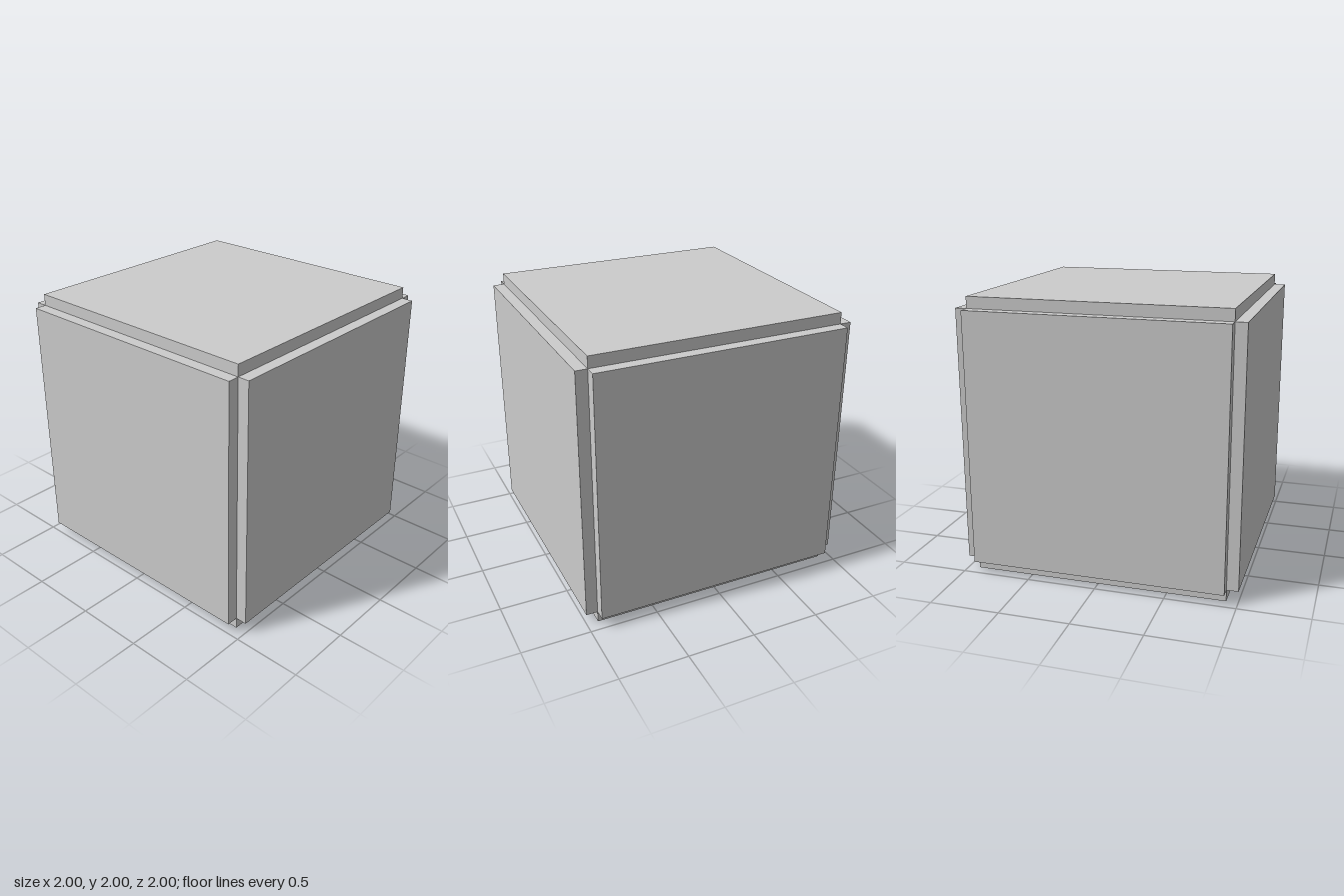
import * as THREE from 'three';

export function createModel() {
  const group = new THREE.Group();
  const material = new THREE.MeshStandardMaterial({ color: 0xcccccc, flatShading: true });
  const half = 0.917; // half width of the core and of each face plate
  const thick = 1 - half;

  const add = (name, size, position) => {
    const mesh = new THREE.Mesh(new THREE.BoxGeometry(...size), material);
    mesh.name = name;
    mesh.position.set(...position);
    group.add(mesh);
  };

  // Solid core cube
  add('core', [2 * half, 2 * half, 2 * half], [0, 1, 0]);

  // One raised plate on each of the six faces
  const names = [['rightPlate', 'leftPlate'], ['bottomPlate', 'topPlate'], ['backPlate', 'frontPlate']];
  names.forEach((pair, axis) => pair.forEach((name, i) => {
    const size = [2 * half, 2 * half, 2 * half];
    const position = [0, 1, 0];
    size[axis] = thick;
    position[axis] += (i ? 1 : -1) * (half + thick / 2);
    add(name, size, position);
  }));

  return group;
}
